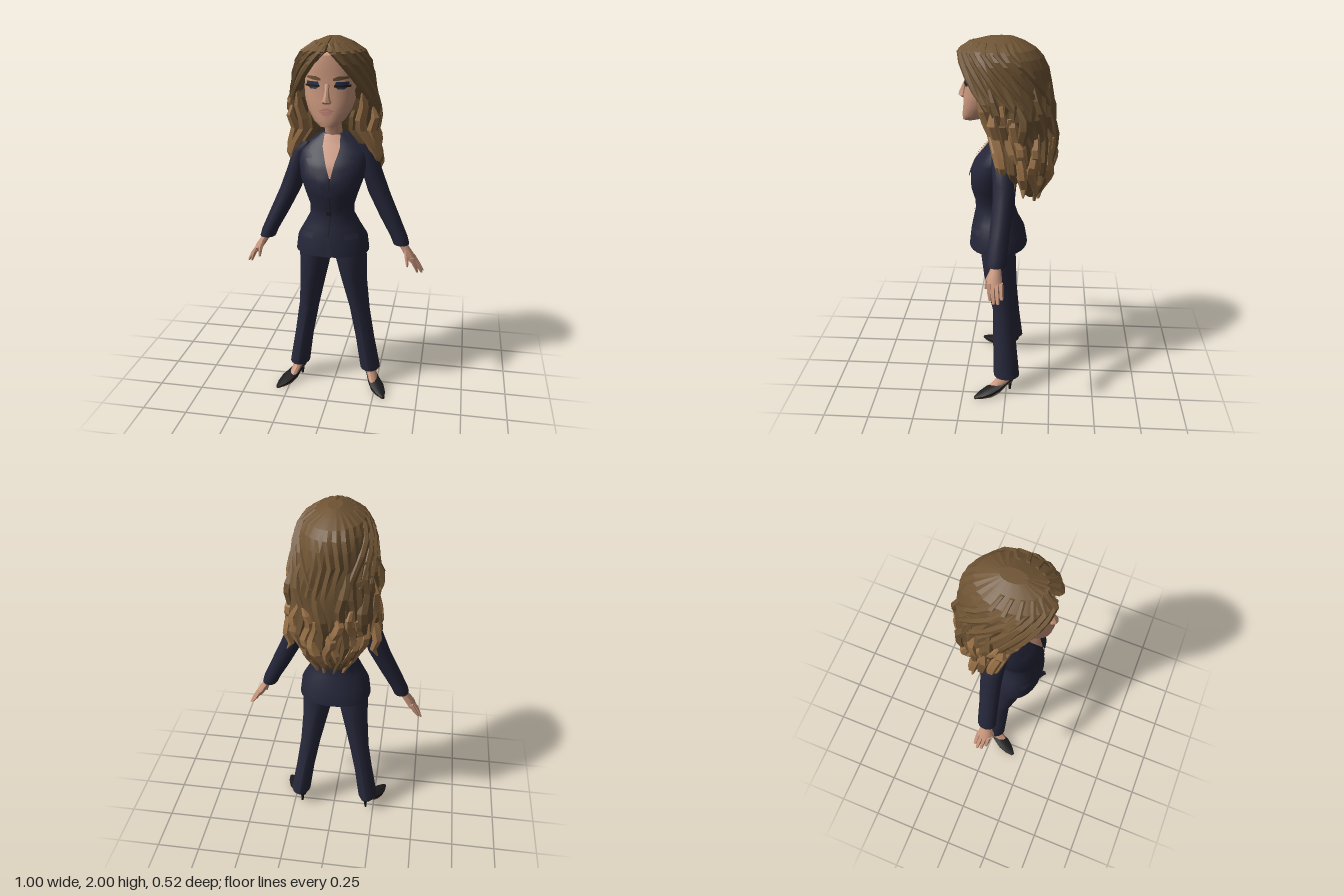
import * as THREE from 'three';
import { toCreasedNormals } from 'three/addons/utils/BufferGeometryUtils.js';

const V = (x, y, z) => new THREE.Vector3(x, y, z);
const paint = (name, color) => {
  const m = new THREE.MeshStandardMaterial({ color });
  m.name = name;
  return m;
};

// Closed solid through equal-length rings; faces always end up pointing outwards.
function loft(rings, crease = 0.7) {
  const n = rings[0].length, pts = rings.flat(), idx = [];
  for (let i = 0; i < rings.length - 1; i++) for (let j = 0; j < n; j++) {
    const a = i * n + j, b = i * n + (j + 1) % n;
    idx.push(a, b, b + n, a, b + n, a + n);
  }
  [0, rings.length - 1].forEach((r, end) => {
    const c = V(0, 0, 0);
    rings[r].forEach(p => c.addScaledVector(p, 1 / n));
    const k = pts.push(c) - 1;
    for (let j = 0; j < n; j++) {
      const a = r * n + j, b = r * n + (j + 1) % n;
      end ? idx.push(a, b, k) : idx.push(b, a, k);
    }
  });
  let volume = 0;
  const o = pts[pts.length - 1];
  for (let i = 0; i < idx.length; i += 3) {
    const [a, b, c] = [0, 1, 2].map(k => pts[idx[i + k]].clone().sub(o));
    volume += a.dot(b.cross(c));
  }
  if (volume < 0) idx.reverse();
  const g = new THREE.BufferGeometry().setFromPoints(pts);
  g.setIndex(idx);
  g.computeVertexNormals();
  return toCreasedNormals(g, crease);
}

// Horizontal superellipse: p < 1 is boxy, p > 1 has pointed creases.
const sp = (v, p) => Math.sign(v) * Math.abs(v) ** p;
function oval(x, y, z, rx, rz, n = 12, p = 1) {
  return Array.from({ length: n }, (_, i) => {
    const t = i / n * Math.PI * 2;
    return V(x + rx * sp(Math.sin(t), p), y, z + rz * sp(Math.cos(t), p));
  });
}
// Rows [x, y, z, rx, rz]; s mirrors the part across x.
const limb = (rows, s = 1, n = 12, p = 1, crease = 0.7) =>
  loft(rows.map(([x, y, z, rx, rz]) => oval(s * x, y, z, rx, rz, n, p)), crease);

// Body rows [y, half width, front z, back z].
const body = (rows, p, n, crease) =>
  limb(rows.map(([y, w, f, b]) => [0, y, (f + b) / 2, w, (f - b) / 2]), 1, n, p, crease);

function rowAt(rows, y) {
  let i = 0;
  while (i < rows.length - 2 && y > rows[i + 1][0]) i++;
  const a = rows[i], b = rows[i + 1];
  const t = THREE.MathUtils.clamp((y - a[0]) / (b[0] - a[0]), 0, 1);
  return a.map((v, k) => v + (b[k] - v) * t);
}

// Thin plate hugging the front of a body; edge rows are [y, x from, x to].
function plate(rows, p, edges, lift = 0.005, s = 1) {
  const cols = 6, steps = (edges.length - 1) * 4, pts = [], idx = [];
  for (let i = 0; i <= steps; i++) {
    const k = Math.min(Math.floor(i / 4), edges.length - 2), t = i / 4 - k;
    const [y, l, r] = edges[k].map((v, m) => v + (edges[k + 1][m] - v) * t);
    const [, w, f, b] = rowAt(rows, y);
    for (let j = 0; j <= cols; j++) {
      const u = s > 0 ? j / cols : 1 - j / cols, x = s * (l + (r - l) * u);
      const q = Math.max(0, 1 - Math.abs(x / w) ** (2 / p)) ** (p / 2);
      pts.push(V(x, y, (f + b) / 2 + (f - b) / 2 * q + lift));
      if (i < steps && j < cols) {
        const a = i * (cols + 1) + j, d = a + cols + 1;
        idx.push(a, a + 1, d + 1, a, d + 1, d);
      }
    }
  }
  const g = new THREE.BufferGeometry().setFromPoints(pts);
  g.setIndex(idx);
  g.computeVertexNormals();
  return g;
}

const FACE = [[1.575, .04, .235, .16], [1.6, .078, .238, .06], [1.65, .11, .232, .02], [1.7, .127, .228, 0],
  [1.77, .135, .215, -.02], [1.85, .13, .218, -.02], [1.92, .1, .21, 0], [1.96, .05, .15, .03]];
const JACKET = [[.87, .2, .215, -.105], [.95, .19, .205, -.09], [1.02, .15, .19, -.055], [1.08, .118, .177, -.037],
  [1.13, .118, .18, -.035], [1.2, .14, .2, -.04], [1.28, .168, .2, -.05], [1.36, .18, .17, -.055],
  [1.42, .175, .125, -.05], [1.46, .14, .095, -.04], [1.51, .07, .065, -.02]];
// Hair rows: y, half width, centre z, front radius, back radius, opening angle, inner x, inner z.
const HAIR = [[1.17, .08, -.12, .02, .05, 1.3, .05, -.11], [1.2, .12, -.1, .03, .09, 1.3, .08, -.08],
  [1.25, .15, -.08, .03, .135, 1.3, .1, -.07], [1.32, .185, -.06, .05, .175, 1.3, .12, -.07],
  [1.4, .22, -.04, .08, .2, 1.2, .14, -.06], [1.48, .225, -.03, .1, .21, 1.1, .11, -.05],
  [1.55, .22, -.02, .12, .222, .9, .06, .02], [1.62, .235, 0, .15, .24, .9, .07, .06],
  [1.7, .225, .03, .2, .262, 1.05, .1, .1], [1.78, .203, .04, .2, .255, .8, .1, .1],
  [1.85, .19, .04, .205, .24, .55, .08, .1], [1.9, .173, .04, .208, .215, .28, .03, .12],
  [1.94, .145, .04, .205, .18, .06, .005, .2], [1.975, .09, .035, .15, .12, .05, .003, .15],
  [1.997, .035, .03, .07, .06, .05, .001, .08]];
function hairPoint(y, t, scale = 1) {
  const [, w, z, f, b] = rowAt(HAIR, y);
  return V(Math.sin(t) * w * scale, y, z + Math.cos(t) * (Math.cos(t) > 0 ? f : b) * scale);
}

export function createModel() {
  const model = new THREE.Group();
  const jacket = paint('jacket navy', 0x242538), trousers = paint('trouser navy', 0x27283b);
  const skin = paint('skin', 0xc9967c), hair = paint('brown hair', 0x6f5434);
  const light = paint('light hair', 0x9a7248), shoe = paint('shoe black', 0x1b1a1c);
  const sole = paint('sole brown', 0x4a321f), lips = paint('lips', 0xbd8072);
  const eye = paint('eye blue', 0x28354f), lash = paint('lash brown', 0x2a1c14);
  const add = (name, geometry, material) => {
    const m = new THREE.Mesh(geometry, material);
    m.name = name;
    model.add(m);
  };

  // Head and neck
  add('head', body(FACE, .85, 24, .35), skin);
  add('neck', limb([[0, 1.42, .02, .07, .05], [0, 1.5, .03, .048, .045], [0, 1.56, .055, .045, .047], [0, 1.64, .08, .06, .06]]), skin);
  add('nose', limb([[0, 1.688, .222, .02, .012], [0, 1.7, .232, .026, .024], [0, 1.715, .232, .018, .022],
    [0, 1.75, .222, .011, .015], [0, 1.785, .212, .012, .008]], 1, 8, 1, .4), skin);
  add('upperLip', plate(FACE, .85, [[1.654, -.042, .042], [1.662, -.025, .025], [1.67, -.008, .008]], .007), lips);
  add('lowerLip', plate(FACE, .85, [[1.632, -.012, .012], [1.642, -.026, .026], [1.652, -.038, .038]], .008), lips);

  // Torso
  add('jacket', body(JACKET, .9, 28, .8), jacket);
  add('neckline', plate(JACKET, .9, [[1.3, .005, .012], [1.38, -.024, .03], [1.46, -.05, .05], [1.505, -.046, .046]]), skin);
  add('hemNotch', plate(JACKET, .9, [[.871, -.02, .02], [.98, -.001, .001]]), trousers);
  add('frontSeam', plate(JACKET, .9, [[.98, -.003, .003], [1.1, .008, .012], [1.3, .003, .007]], .004), shoe);
  add('waistButton', plate(JACKET, .9, [[1.095, -.015, .015], [1.115, -.015, .015]], .008), shoe);

  for (const s of [1, -1]) {
    // Face details
    add('eyelid', plate(FACE, .85, [[1.76, .055, .085], [1.774, .036, .106], [1.796, .045, .106]], .006, s), eye);
    add('lashes', plate(FACE, .85, [[1.77, .036, .114], [1.78, .036, .116]], .009, s), lash);
    add('eyebrow', plate(FACE, .85, [[1.802, .03, .06], [1.812, .032, .11], [1.822, .055, .1]], .006, s), hair);
    add('ear', limb([[.133, 1.66, .08, .006, .012], [.142, 1.69, .08, .012, .02], [.145, 1.74, .07, .014, .026], [.14, 1.76, .07, .006, .014]], s, 8), skin);

    // Lapels and pocket flaps
    add('lapel', plate(JACKET, .9, [[1.2, .004, .012], [1.3, .012, .065], [1.385, .03, .13], [1.395, .034, .095],
      [1.44, .046, .115], [1.505, .042, .065]], .009, s), jacket);
    add('pocketFlap', plate(JACKET, .9, [[.965, .085, .155], [.995, .085, .145]], .008, s), trousers);

    // Sleeve and hand
    add('sleeve', limb([[.374, .91, .038, .043, .052], [.36, .95, .035, .046, .052], [.305, 1.06, .025, .053, .052],
      [.243, 1.19, .012, .058, .055], [.205, 1.3, .008, .055, .06], [.172, 1.41, .015, .05, .06], [.13, 1.46, .025, .035, .045]], s, 14), jacket);
    add('hand', limb([[.365, .95, .04, .022, .028], [.388, .9, .04, .024, .027], [.414, .86, .045, .026, .038], [.44, .815, .042, .02, .04]], s, 10), skin);
    [[.48, .77, .004], [.495, .752, .022], [.49, .75, .044], [.468, .757, .064]].forEach(([x, y, z], i) => {
      const z0 = .012 + i * .02;
      add('finger', limb([[.434, .84, z0, .014, .013], [(.44 + x) / 2, .797, (z0 + z) / 2, .013, .0125], [x, y, z, .006, .008]], s, 6), skin);
    });
    add('thumb', limb([[.4, .885, .06, .012, .014], [.41, .845, .08, .013, .013], [.414, .795, .09, .006, .007]], s, 6), skin);

    // Trouser leg
    add('trouserLeg', limb([[.211, .105, -.002, .058, .074], [.18, .3, .01, .054, .066], [.146, .5, .018, .058, .06],
      [.115, .7, .045, .074, .082], [.098, .84, .055, .09, .09], [.09, .96, .06, .085, .09]], s, 16, 1.08, .5), trousers);

    // Foot and pointed heeled shoe, turned outwards
    add('foot', limb([[.238, .045, .055, .026, .04], [.22, .085, .012, .029, .045], [.21, .14, -.005, .03, .036]], s, 10), skin);
    const a = .5, across = (d, w, y) => V(s * (.2 + d * Math.sin(a) + w * Math.cos(a)), y, -.027 + d * Math.cos(a) - w * Math.sin(a));
    const section = (d, w, lo, hi) => Array.from({ length: 10 }, (_, i) => {
      const t = i / 10 * Math.PI * 2;
      return across(d, w * Math.sin(t), (lo + hi) / 2 + (hi - lo) / 2 * sp(Math.cos(t), .8));
    });
    const last = [[-.022, .018, .07, .108], [0, .028, .062, .1], [.04, .031, .05, .078], [.09, .037, .014, .06],
      [.14, .041, .004, .046], [.19, .03, .004, .028], [.232, .01, .004, .014]];
    add('shoe', loft(last.map(r => section(...r)), .6), shoe);
    add('sole', loft(last.slice(1).map(([d, w, lo]) => section(d, w * .85, lo - .004, lo + .004)), .6), sole);
    const h = d => across(d, 0, 0);
    add('heel', limb([[s * h(.008).x, 0, h(.008).z, .007, .007], [s * h(.004).x, .04, h(.004).z, .009, .009],
      [s * h(.002).x, .085, h(.002).z, .02, .02]], s, 8), shoe);

    // Curls beside the shoulders, flicking out at the tips
    for (let i = 0; i < 3; i++) {
      const z = .035 - i * .05, d = i * .03;
      add('sideCurl', limb([[.205, 1.66, z + .03, .01, .012], [.222, 1.6, z + .03, .024, .028], [.2, 1.53 - d, z + .01, .028, .03],
        [.222, 1.46 - d, z - .01, .03, .03], [.235, 1.39 - d, z - .02, .026, .026], [.215, 1.33 - d, z - .025, .018, .018],
        [.24, 1.29 - d, z - .025, .004, .005]], s, 6, 1, .25), i === 1 ? hair : light);
    }
    // Wavy strands framing the jaw
    add('frontStrand', limb([[.165, 1.74, .14, .008, .012], [.168, 1.66, .115, .026, .026], [.15, 1.59, .095, .03, .03],
      [.15, 1.53, .07, .03, .028], [.195, 1.46, .05, .03, .026], [.225, 1.39, .035, .02, .02], [.215, 1.33, .03, .004, .005]], s, 7, 1, .25), light);
    add('innerStrand', limb([[.13, 1.68, .07, .01, .012], [.11, 1.6, .06, .026, .024], [.105, 1.53, .045, .028, .024],
      [.145, 1.47, .045, .02, .018], [.165, 1.43, .05, .004, .005]], s, 6, 1, .25), hair);
    // Swept strands falling from the centre parting
    for (let i = 0; i < 6; i++) {
      const rows = [[1.975, .1], [1.93, .25], [1.88, .48], [1.82, .72], [1.75, .95], [1.67, 1.15]].map(([y, t], k) => {
        const c = hairPoint(y, t + i * .32, .985);
        const r = .008 + .014 * Math.sin((k + .5) / 6 * Math.PI);
        return [c.x, y, c.z, r, r];
      });
      add('sweptStrand', limb(rows, s, 6, 1, .25), hair);
    }
  }

  // Main hair: a ridged shell, open at the face and hollowed along the back
  const n = 46, rings = HAIR.map(([y, , , , , open, xi, zi], r) => {
    const ring = [];
    for (let j = 0; j <= n; j++) {
      const edge = Math.sin(j / n * Math.PI);
      const t = open + (Math.PI * 2 - open * 2) * j / n + .07 * Math.sin(y * 22) * edge;
      const ridge = (j % 2 ? .016 : -.016) + .014 * Math.sin(j * 2.7 + r * .9);
      ring.push(hairPoint(y, t, 1 + ridge));
    }
    ring.push(V(-xi, y, zi), V(0, y, zi), V(xi, y, zi));
    return ring;
  });
  add('hair', loft(rings, .25), hair);

  // Wavy locks: long brown ones, and lighter ones towards the tips
  for (let i = 0; i < 21; i++) {
    const t0 = 1.35 + i / 20 * (Math.PI * 2 - 2.7), back = -Math.cos(t0);
    const top = i % 3 ? (back > .4 ? 1.5 : 1.64) + .06 * (i % 2) : 1.78;
    const low = (back > .4 ? 1.145 : 1.24) + .03 * ((i * 5) % 4);
    const rows = Array.from({ length: 10 }, (_, k) => {
      const u = k / 9, y = top + (low - top) * u;
      const c = hairPoint(y, t0 + .09 * Math.sin(u * 9 + i * 1.7), .95 + .05 * Math.sin(u * 11 + i));
      const r = .005 + .028 * Math.sin(Math.PI * Math.min(1, .1 + u * .87));
      return [c.x, y, c.z, r, r * .9];
    });
    add('lock', limb(rows, 1, 6, 1, .25), i % 3 ? light : hair);
  }
  return model;
}
